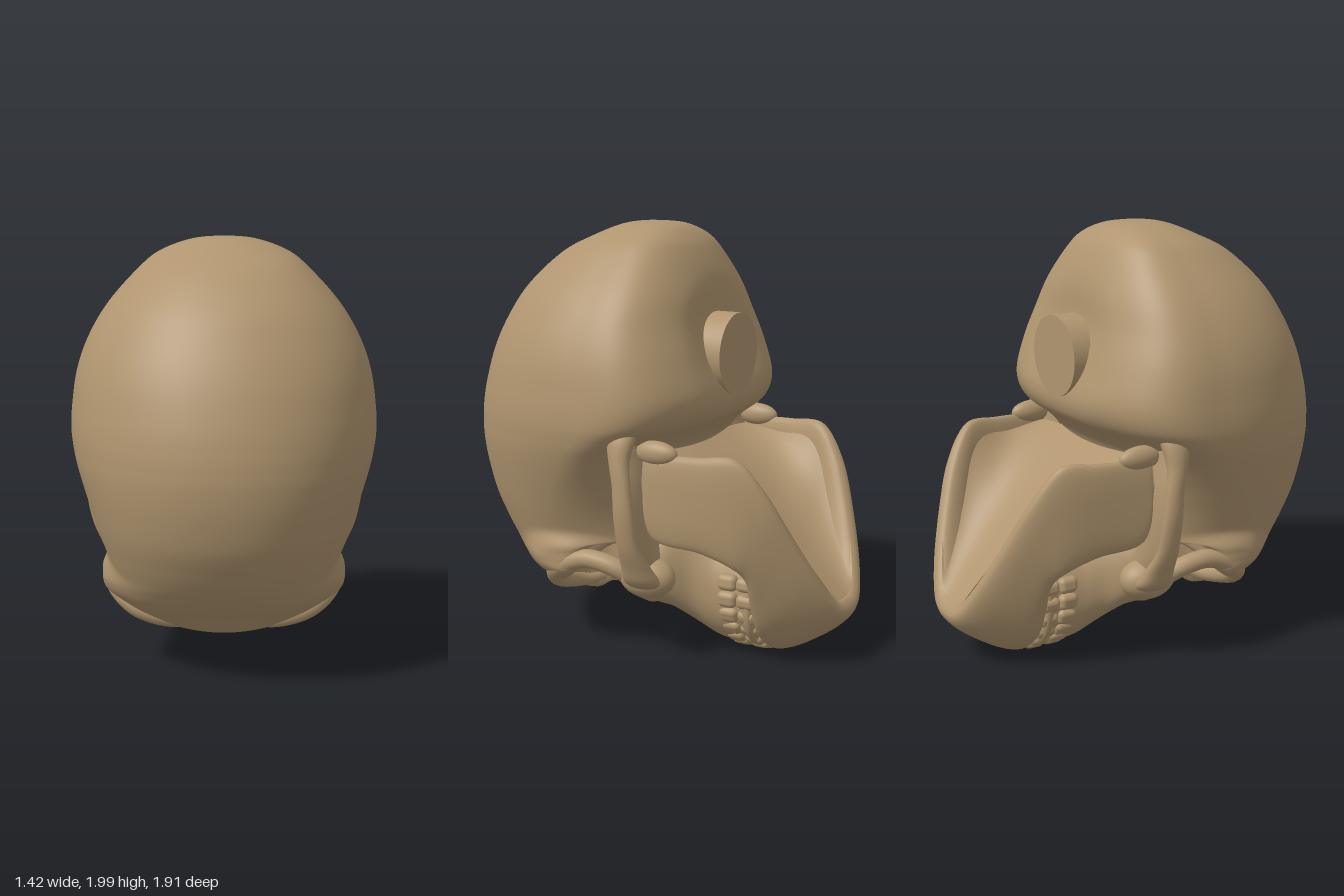
import * as THREE from 'three';
import { RoundedBoxGeometry } from 'three/addons/geometries/RoundedBoxGeometry.js';

const V = (x, y, z) => new THREE.Vector3(x, y, z);
const bone = new THREE.MeshStandardMaterial({ color: 0xb0956f, side: THREE.DoubleSide });

// Smoothly interpolates every column of a table of rows.
function refine(rows, steps) {
  const out = [], row = i => rows[Math.min(Math.max(i, 0), rows.length - 1)];
  for (let i = 0; i < rows.length - 1; i++) {
    for (let s = 0; s < steps; s++) {
      const t = s / steps;
      out.push(rows[i].map((p1, k) => {
        const p0 = row(i - 1)[k], p2 = row(i + 1)[k], p3 = row(i + 2)[k];
        return p1 + 0.5 * t * (p2 - p0 + t * (2 * p0 - 5 * p1 + 4 * p2 - p3 + t * (3 * (p1 - p2) + p3 - p0)));
      }));
    }
  }
  out.push(rows[rows.length - 1]);
  return out;
}

// Skins a list of equally long rings of points.
function loft(rings, closed = true) {
  const n = rings[0].length, index = [];
  for (let i = 0; i < rings.length - 1; i++) {
    for (let j = 0; j < (closed ? n : n - 1); j++) {
      const a = i * n + j, b = i * n + (j + 1) % n;
      index.push(a, b, a + n, b, b + n, a + n);
    }
  }
  const g = new THREE.BufferGeometry().setFromPoints(rings.flat());
  g.setIndex(index);
  g.computeVertexNormals();
  return g;
}

const ring = (n, f) => Array.from({ length: n }, (_, j) => f(j / n * Math.PI * 2));
const power = (v, e) => Math.sign(v) * Math.abs(v) ** e;
const dent = (a, b) => {
  const r = Math.hypot(a, b);
  return r < 1 ? 1 - THREE.MathUtils.smoothstep(r, 0.3, 1) : 0;
};

// Brow corners, eye sockets, nose root, nose opening and the shallow dish of the skull base.
function hollow(p) {
  const face = 1 - THREE.MathUtils.smoothstep(p.y, 0.4, 0.54);
  const eye = face * dent((Math.abs(p.x) - 0.31) / 0.21, (p.z - 0.17) / 0.25);
  const nose = face * dent(p.x / (0.12 - 0.15 * (p.z + 0.09)), (p.z + 0.09) / 0.14);
  const root = face * dent(p.x / 0.4, (p.z - 0.22) / 0.13);
  p.x *= (1 + 0.1 * dent((p.z - 0.27) / 0.34, (p.y - 0.45) / 0.14)) * (1 - 0.4 * eye);
  p.y += Math.max(0.38 * eye, 0.25 * nose, 0.05 * root);
  if (p.z < 0) p.z += 0.04 * dent(p.x / 0.4, (p.y - 1.4) / 0.4);
  return p;
}

export function createModel() {
  const model = new THREE.Group();
  const add = (name, geometry, parent = model) => {
    const m = new THREE.Mesh(geometry, bone);
    m.name = name;
    parent.add(m);
    return m;
  };
  const ellipsoid = (name, pos, size, parent) => {
    const m = add(name, new THREE.SphereGeometry(1, 32, 20), parent);
    m.position.set(...pos);
    m.scale.set(...size);
    return m;
  };

  // Braincase: y, half width, lowest z, highest z, z of greatest width
  const caseRows = [
    [2, 0, 0.09, 0.11, 0.1], [1.985, 0.15, -0.04, 0.23, 0.1], [1.93, 0.30, -0.12, 0.37, 0.1],
    [1.85, 0.40, -0.175, 0.53, 0.12], [1.7, 0.535, -0.24, 0.695, 0.14], [1.55, 0.625, -0.285, 0.795, 0.15],
    [1.4, 0.68, -0.34, 0.868, 0.15], [1.24, 0.705, -0.385, 0.92, 0.15], [1.13, 0.71, -0.35, 0.942, 0.16],
    [1.05, 0.7, -0.25, 0.95, 0.18],
    [0.97, 0.68, -0.18, 0.95, 0.22], [0.85, 0.64, -0.15, 0.935, 0.27], [0.7, 0.585, -0.12, 0.895, 0.33],
    [0.58, 0.54, -0.12, 0.835, 0.36], [0.5, 0.515, -0.13, 0.785, 0.36], [0.44, 0.51, -0.15, 0.735, 0.35],
    [0.37, 0.5, -0.17, 0.665, 0.32], [0.3, 0.45, -0.18, 0.575, 0.27], [0.24, 0.37, -0.16, 0.5, 0.23],
    [0.2, 0.26, -0.12, 0.45, 0.2], [0.185, 0.1, 0.05, 0.38, 0.2], [0.183, 0, 0.19, 0.21, 0.2],
  ];
  add('braincase', loft(refine(caseRows, 7).map(([y, w, z0, z1, zc]) => ring(112, a => {
    const s = Math.sin(a), base = THREE.MathUtils.smoothstep(y, 0.8, 1.15);
    const z = s < 0 ? zc + (zc - z0) * power(s, 1 - 0.45 * base) : zc + (z1 - zc) * power(s, 0.96);
    return hollow(V(w * power(Math.cos(a), s > 0 ? 0.95 : 1), y, z));
  }))));

  // Upper jaw: z, half width, front y, back y
  const jawRows = [
    [0.08, 0, 0.35, 0.5], [0.04, 0.2, 0.23, 0.6], [-0.08, 0.43, 0.19, 0.66], [-0.18, 0.42, 0.165, 0.68],
    [-0.28, 0.33, 0.085, 0.65], [-0.36, 0.295, 0.04, 0.6], [-0.43, 0.28, 0.03, 0.58],
    [-0.5, 0.265, 0.045, 0.56], [-0.58, 0.275, 0.045, 0.52], [-0.62, 0, 0.3, 0.4],
  ];
  add('upperJaw', loft(refine(jawRows, 8).map(([z, w, f, b]) => ring(96, a => hollow(
    V(w * power(Math.cos(a), 0.9), (f + b) / 2 - (b - f) / 2 * power(Math.sin(a), 0.9), z))))));
  ellipsoid('nasalBridge', [0, 0.27, 0.1], [0.075, 0.07, 0.2]).rotation.x = -0.15;

  // Lower jaw: lower border xyz, upper border xyz, thickness, mirrored through the chin
  const side = [
    [0.51, 1.0, -0.15, 0.53, 0.85, -0.15, 0.02], [0.51, 1.0, -0.2, 0.52, 0.62, -0.2, 0.03],
    [0.49, 1.01, -0.42, 0.475, 0.57, -0.42, 0.04], [0.455, 1.01, -0.59, 0.435, 0.51, -0.56, 0.045],
    [0.4, 0.86, -0.71, 0.38, 0.44, -0.6, 0.055], [0.32, 0.66, -0.8, 0.32, 0.31, -0.595, 0.06],
    [0.22, 0.46, -0.88, 0.245, 0.17, -0.59, 0.065], [0.11, 0.31, -0.935, 0.13, 0.075, -0.59, 0.07],
  ];
  const flip = ([a, b, c, d, e, f, t]) => [-a, b, c, -d, e, f, t];
  const path = refine([...side, [0, 0.28, -0.945, 0, 0.05, -0.59, 0.075], ...side.map(flip).reverse()], 8);
  const mid = i => {
    const p = path[Math.min(Math.max(i, 0), path.length - 1)];
    return V(p[0] + p[3], p[1] + p[4], p[2] + p[5]).multiplyScalar(0.5);
  };
  const jaw = path.map(([a, b, c, d, e, f, t], i) => {
    const half = V(a - d, b - e, c - f).multiplyScalar(0.5);
    const out = half.clone().negate().cross(mid(i + 1).sub(mid(i - 1))).normalize();
    return ring(32, q => mid(i).addScaledVector(half, power(Math.cos(q), 0.8))
      .addScaledVector(out, t * power(Math.sin(q), 0.7)));
  });
  add('lowerJaw', loft(jaw));
  ellipsoid('chin', [0, 0.235, -0.84], [0.17, 0.06, 0.1]).rotation.x = 0.3;

  // Floor of the mouth between the two halves of the lower jaw: z, half width, middle y, edge y
  const floorRows = [[-0.15, 0.5, 0.98, 0.96], [-0.35, 0.48, 0.84, 0.95], [-0.55, 0.44, 0.65, 0.96],
    [-0.7, 0.38, 0.5, 0.8], [-0.82, 0.27, 0.39, 0.58], [-0.92, 0.1, 0.3, 0.32]];
  add('mouthFloor', loft(refine(floorRows, 6).map(([z, w, m, e]) =>
    Array.from({ length: 33 }, (_, j) => {
      const u = j / 16 - 1;
      return V(u * w, m + (e - m) * Math.abs(u) ** 3, z);
    })), false));

  // Teeth in two arched rows, the middle upper pair being the largest
  for (const [name, z, width] of [['upperTooth', -0.455, 0.076], ['lowerTooth', -0.55, 0.066]]) {
    for (let i = 0; i < 14; i++) {
      const a = (i - 6.5) * 0.262, big = Math.abs(i - 6.5) < 1 ? 1.1 : 1;
      const tooth = add(name, new RoundedBoxGeometry(width * big, 0.06, 0.095, 3, 0.026));
      tooth.position.set(0.272 * Math.sin(a), 0.34 - 0.305 * Math.cos(a), z);
      tooth.rotation.z = Math.atan2(0.305 * Math.sin(a), 0.272 * Math.cos(a));
    }
  }

  // Parts found on both sides
  const rimLine = [[0.1, 0.28, 0.26], [0.2, 0.25, 0.38], [0.39, 0.3, 0.4], [0.5, 0.39, 0.33], [0.505, 0.46, 0.17],
    [0.47, 0.42, 0], [0.37, 0.31, -0.08], [0.2, 0.25, -0.03], [0.11, 0.28, 0.1]];
  // Cheek arch: x, y, z, half thickness, half depth
  const archRows = [[0.47, 0.35, -0.12, 0.02, 0.05], [0.51, 0.4, -0.14, 0.06, 0.09], [0.56, 0.48, -0.14, 0.05, 0.075],
    [0.62, 0.59, -0.135, 0.035, 0.055], [0.65, 0.74, -0.13, 0.033, 0.05], [0.65, 0.87, -0.12, 0.033, 0.045],
    [0.635, 0.98, -0.1, 0.04, 0.05], [0.6, 1.08, -0.09, 0.055, 0.07], [0.53, 1.18, -0.08, 0.07, 0.09]].reverse();
  for (const s of [1, -1]) {
    const half = new THREE.Group();
    half.name = s > 0 ? 'leftSide' : 'rightSide';
    model.add(half);
    const rim = new THREE.CatmullRomCurve3(rimLine.map(([x, y, z]) => V(s * x, y, z)), true);
    add('eyeSocketRim', new THREE.TubeGeometry(rim, 80, 0.045, 14, true), half);
    const arch = refine(archRows, 6);
    add('cheekArch', loft(arch.map(([x, y, z, tx, tz]) =>
      ring(20, a => V(s * x + tx * Math.cos(a), y, z + tz * Math.sin(a))))), half);
    // Thin bone closing the gap between the arch and the temple
    add('templeWall', loft(arch.slice(6).map(([x, y, z]) => Array.from({ length: 9 }, (_, j) =>
      V(s * (x - 0.26 * j / 8), y, z - 0.04 * Math.sin(j / 8 * Math.PI)))), false), half);
    ellipsoid('cheekBone', [s * 0.43, 0.4, -0.12], [0.1, 0.1, 0.14], half);
    ellipsoid('jawJoint', [s * 0.505, 1.01, -0.21], [0.045, 0.055, 0.11], half);
  }

  // Round plug set into the skull base
  const plug = add('basePlug', new THREE.CylinderGeometry(0.19, 0.19, 0.14, 48));
  plug.rotation.x = Math.PI / 2;
  plug.position.set(0, 1.4, -0.29);
  return model;
}
